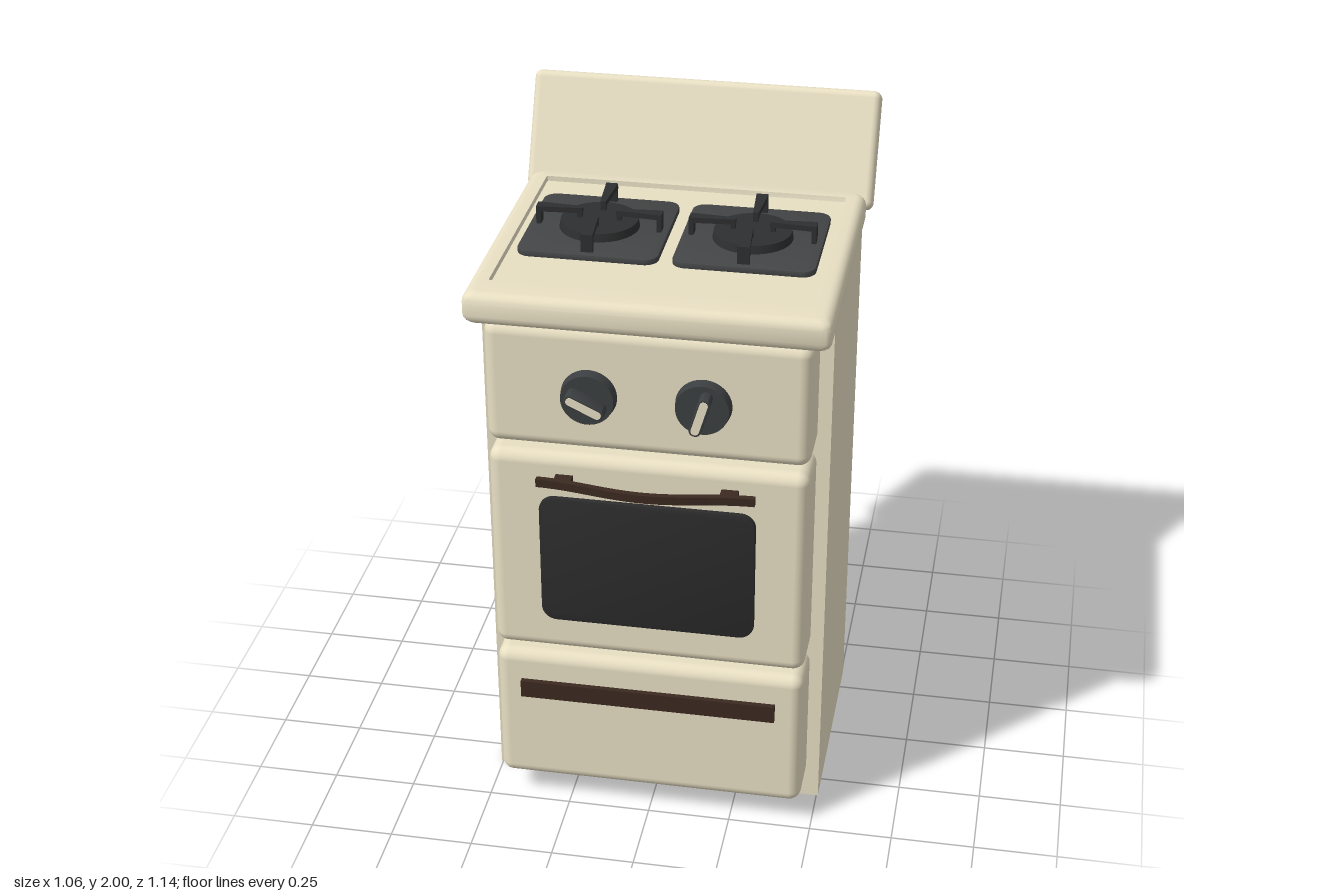
import * as THREE from 'three';
import { toCreasedNormals } from 'three/addons/utils/BufferGeometryUtils.js';
import { RoundedBoxGeometry } from 'three/addons/geometries/RoundedBoxGeometry.js';

const mat = (color) => new THREE.MeshStandardMaterial({ color });
const cream = mat(0xe8dfc3), iron = mat(0x2e2f30), plateGrey = mat(0x444546);
const knobGrey = mat(0x3c3f41), glass = mat(0x2c2c2c), wood = mat(0x3b2a21);

function add(parent, name, geo, material, x = 0, y = 0, z = 0) {
  const m = new THREE.Mesh(geo, material);
  m.name = name;
  m.position.set(x, y, z);
  parent.add(m);
  return m;
}

function roundRect(w, h, r) {
  const s = new THREE.Shape(), x = w / 2 - r, y = h / 2 - r;
  s.absarc(x, y, r, 0, Math.PI / 2);
  s.absarc(-x, y, r, Math.PI / 2, Math.PI);
  s.absarc(-x, -y, r, Math.PI, Math.PI * 1.5);
  s.absarc(x, -y, r, Math.PI * 1.5, Math.PI * 2);
  return s;
}

// Extrusion with a small rounded edge, kept inside the given depth
function slab(shape, depth, bevel = 0) {
  const g = new THREE.ExtrudeGeometry(shape, {
    depth: depth - bevel, bevelEnabled: bevel > 0, bevelThickness: bevel,
    bevelSize: bevel, bevelOffset: -bevel, bevelSegments: 2, curveSegments: 8,
  });
  return toCreasedNormals(g, 0.6);
}

// Worktop skin: rounded rectangles stacked from the underside, over the rim and into the recess
function worktopGeometry() {
  const rings = [];
  const outer = (inset, y) => rings.push([0.515 - inset, -0.355 + inset * 0.3, 0.52 - inset, 0.025, y]);
  outer(0.1, 1.643);
  for (let i = 0; i <= 5; i++) {
    const a = (i / 5) * Math.PI / 2;
    outer(0.03 * (1 - Math.sin(a)), 1.643 + 0.03 * (1 - Math.cos(a)));
  }
  for (let i = 0; i <= 5; i++) {
    const a = (i / 5) * Math.PI / 2;
    outer(0.03 * (1 - Math.cos(a)), 1.71 + 0.03 * Math.sin(a));
  }
  rings.push([0.457, -0.311, 0.419, 0.004, 1.74], [0.455, -0.309, 0.417, 0.004, 1.725]);
  const pos = [], index = [], n = 20;
  for (const [hx, zb, zf, r, y] of rings) {
    for (let c = 0; c < 4; c++) {
      const cx = c === 0 || c === 3 ? hx - r : r - hx;
      const cz = c < 2 ? zb + r : zf - r;
      for (let k = 0; k < 5; k++) {
        const a = (c + k / 4) * Math.PI / 2;
        pos.push(cx + r * Math.cos(a), y, cz - r * Math.sin(a));
      }
    }
  }
  for (let j = 0; j < rings.length - 1; j++) {
    for (let k = 0; k < n; k++) {
      const a = j * n + k, b = j * n + (k + 1) % n;
      index.push(a, b, b + n, a, b + n, a + n);
    }
  }
  // Close underside and recess floor
  const bottom = pos.length / 3, top = bottom + 1, last = (rings.length - 1) * n;
  pos.push(0, 1.643, 0.08, 0, 1.725, 0.05);
  for (let k = 0; k < n; k++) {
    const k2 = (k + 1) % n;
    index.push(bottom, k2, k, top, last + k, last + k2);
  }
  const g = new THREE.BufferGeometry();
  g.setAttribute('position', new THREE.Float32BufferAttribute(pos, 3));
  g.setIndex(index);
  return toCreasedNormals(g, 0.6);
}

function makeBurner(x) {
  const burner = new THREE.Group();
  burner.name = 'burner';
  burner.position.set(x, 0, 0.017);
  add(burner, 'burnerPlate', slab(roundRect(0.41, 0.41, 0.04), 0.02, 0.004).rotateX(-Math.PI / 2), plateGrey, 0, 1.722, 0);
  const cap = new THREE.CylinderGeometry(0.113, 0.118, 0.03, 40);
  add(burner, 'burnerCap', cap, iron, 0, 1.751, 0);
  // Four tapered pan supports, each with a foot
  const plan = new THREE.Shape([[0.05, -0.008], [0.185, -0.018], [0.185, 0.018], [0.05, 0.008]]
    .map(([a, b]) => new THREE.Vector2(a, b)));
  for (let i = 0; i < 4; i++) {
    const arm = new THREE.Group();
    arm.name = 'panSupport';
    arm.rotation.y = i * Math.PI / 2;
    add(arm, 'supportBar', slab(plan, 0.016).rotateX(-Math.PI / 2), iron, 0, 1.78, 0);
    add(arm, 'supportFoot', new THREE.BoxGeometry(0.014, 0.055, 0.035), iron, 0.178, 1.76, 0);
    add(arm, 'supportTip', new THREE.BoxGeometry(0.014, 0.03, 0.016), iron, 0.058, 1.773, 0);
    burner.add(arm);
  }
  return burner;
}

function makeKnob(x, turn) {
  const knob = new THREE.Group();
  knob.name = 'knob';
  knob.position.set(x, 1.44, 0.488);
  knob.rotation.z = turn;
  add(knob, 'knobDisc', new THREE.CylinderGeometry(0.076, 0.081, 0.034, 36).rotateX(Math.PI / 2), knobGrey, 0, 0, 0.017);
  add(knob, 'knobGrip', slab(roundRect(0.122, 0.036, 0.0175), 0.05, 0.003), knobGrey, 0, 0, 0.03);
  add(knob, 'knobPointer', slab(roundRect(0.108, 0.024, 0.0115), 0.004), cream, 0, 0, 0.078);
  return knob;
}

export function createModel() {
  const stove = new THREE.Group();
  stove.name = 'stove';

  // Cabinet with two runner feet
  const outline = new THREE.Shape([[-0.505, 0], [-0.42, 0], [-0.42, 0.055], [0.42, 0.055],
    [0.42, 0], [0.505, 0], [0.505, 1.65], [-0.505, 1.65]].map(([a, b]) => new THREE.Vector2(a, b)));
  add(stove, 'cabinet', slab(outline, 0.68), cream, 0, 0, -0.345);

  // Rounded front panels
  for (const [name, y0, y1] of [['drawerFront', 0.08, 0.54], ['ovenDoor', 0.565, 1.235], ['controlPanel', 1.26, 1.643]]) {
    add(stove, name, new RoundedBoxGeometry(0.93, y1 - y0, 0.26, 5, 0.036), cream, 0, (y0 + y1) / 2, 0.36);
  }

  add(stove, 'worktop', worktopGeometry(), cream);

  // Tilted splashback
  const back = add(stove, 'splashback', new RoundedBoxGeometry(1.062, 0.355, 0.078, 4, 0.022), cream, 0, 1.832, -0.458);
  back.rotation.x = -0.47;

  for (const x of [-0.225, 0.225]) stove.add(makeBurner(x));
  stove.add(makeKnob(-0.163, -0.44), makeKnob(0.163, 1.28));

  add(stove, 'ovenWindow', slab(roundRect(0.632, 0.42, 0.045), 0.02, 0.004), glass, 0, 0.89, 0.484);

  // Bowed oven handle on two mounts
  const front = [], rear = [];
  for (let i = 0; i <= 24; i++) {
    const x = -0.316 + (0.632 * i) / 24;
    const z = 0.53 + 0.018 * (1 + Math.cos((Math.PI * x) / 0.316));
    front.push(new THREE.Vector2(x, z));
    rear.unshift(new THREE.Vector2(x, z - 0.018));
  }
  const bow = new THREE.Shape([...front, ...rear]);
  add(stove, 'ovenHandle', slab(bow, 0.025).rotateX(Math.PI / 2), wood, 0, 1.174, 0);
  for (const x of [-0.24, 0.24]) {
    add(stove, 'handleMount', new THREE.BoxGeometry(0.05, 0.025, 0.045), wood, x, 1.1615, 0.507);
  }

  // Drawer handle on a narrow stem
  add(stove, 'drawerHandle', new THREE.BoxGeometry(0.77, 0.056, 0.016), wood, 0, 0.428, 0.514);
  add(stove, 'drawerHandleStem', new THREE.BoxGeometry(0.74, 0.016, 0.03), wood, 0, 0.428, 0.496);

  return stove;
}
